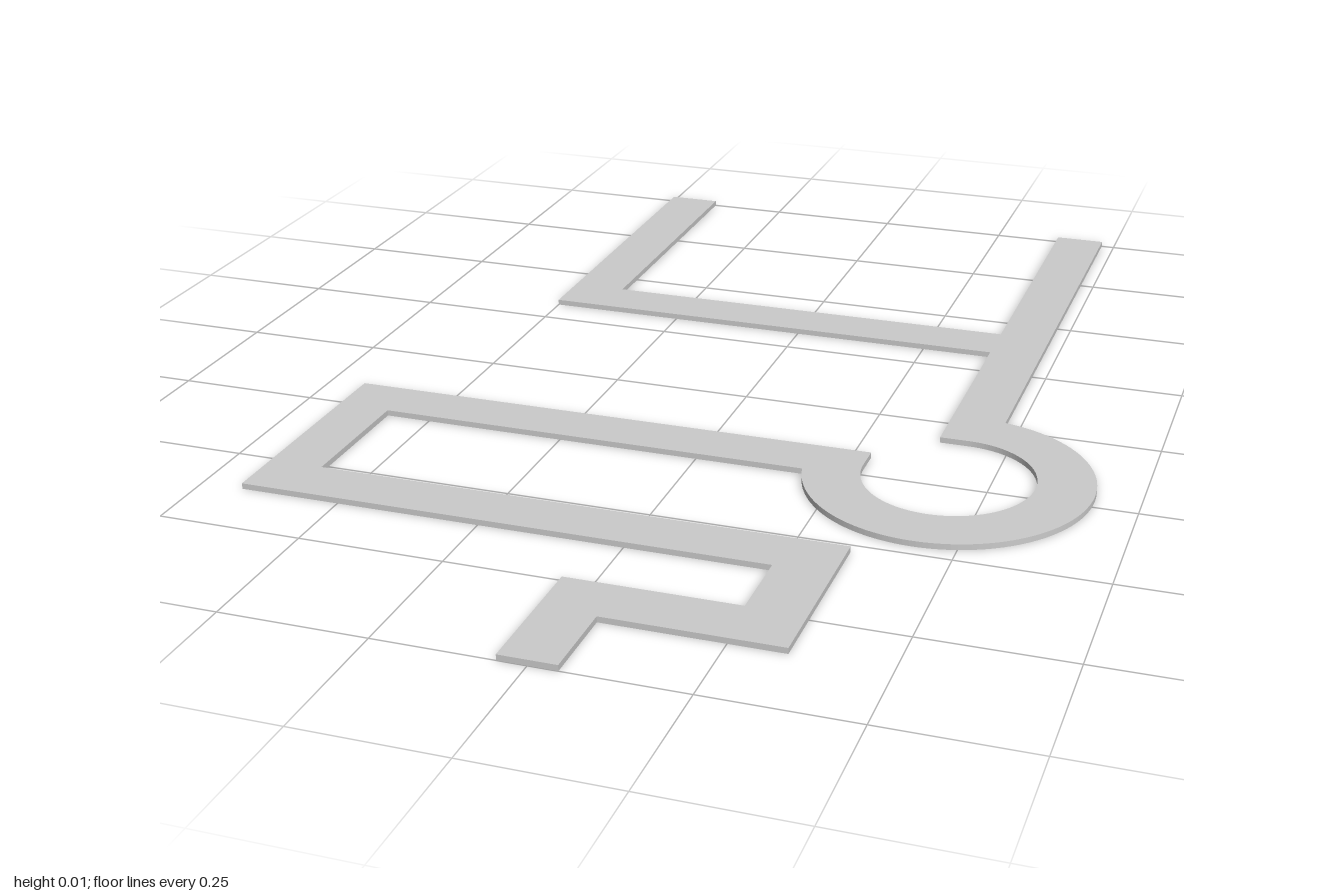
import * as THREE from 'three';

const THICKNESS = 0.01;
const RING = { x: 0.43, z: 0.23, inner: 0.147, outer: 0.245 };

export function createModel() {
  const group = new THREE.Group();
  group.name = 'flatTrack';

  // Outline drawn in plan: shape y is -z
  const shape = new THREE.Shape();
  const lines = (points) => points.forEach(([x, z]) => shape.lineTo(x, -z));

  // Left fork prong, crossbar and stem down to the ring
  shape.moveTo(-0.5, 1);
  lines([[-0.5, -0.32], [0.38, -0.32], [0.38, 0.083], [RING.x, RING.z - RING.inner]]);

  // Inside of the open ring
  shape.absarc(RING.x, -RING.z, RING.inner, Math.PI / 2, -Math.PI, true);

  // One side of the winding path, around its end, and back along the other side
  lines([
    [0.283, 0.18], [-0.675, 0.18], [-0.675, 0.62], [0.245, 0.62], [0.245, 0.755],
    [-0.048, 0.755], [-0.048, 1], [0.048, 1], [0.048, 0.853], [0.343, 0.853],
    [0.343, 0.523], [-0.58, 0.523], [-0.58, 0.277], [0.19, 0.277],
  ]);

  // Outside of the ring, back up to the stem
  shape.absarc(RING.x, -RING.z, RING.outer, Math.atan2(-0.047, -0.24), Math.atan2(0.241, 0.045), false);

  // Right fork prong and the inside of the fork
  lines([[0.475, -1], [0.38, -1], [0.38, -0.415], [-0.4, -0.415], [-0.4, -1]]);
  shape.closePath();

  const geometry = new THREE.ExtrudeGeometry(shape, {
    depth: THICKNESS, bevelEnabled: false, curveSegments: 48,
  });
  geometry.rotateX(-Math.PI / 2);

  const track = new THREE.Mesh(geometry, new THREE.MeshStandardMaterial({ color: 0xcccccc }));
  track.name = 'track';
  group.add(track);
  return group;
}
